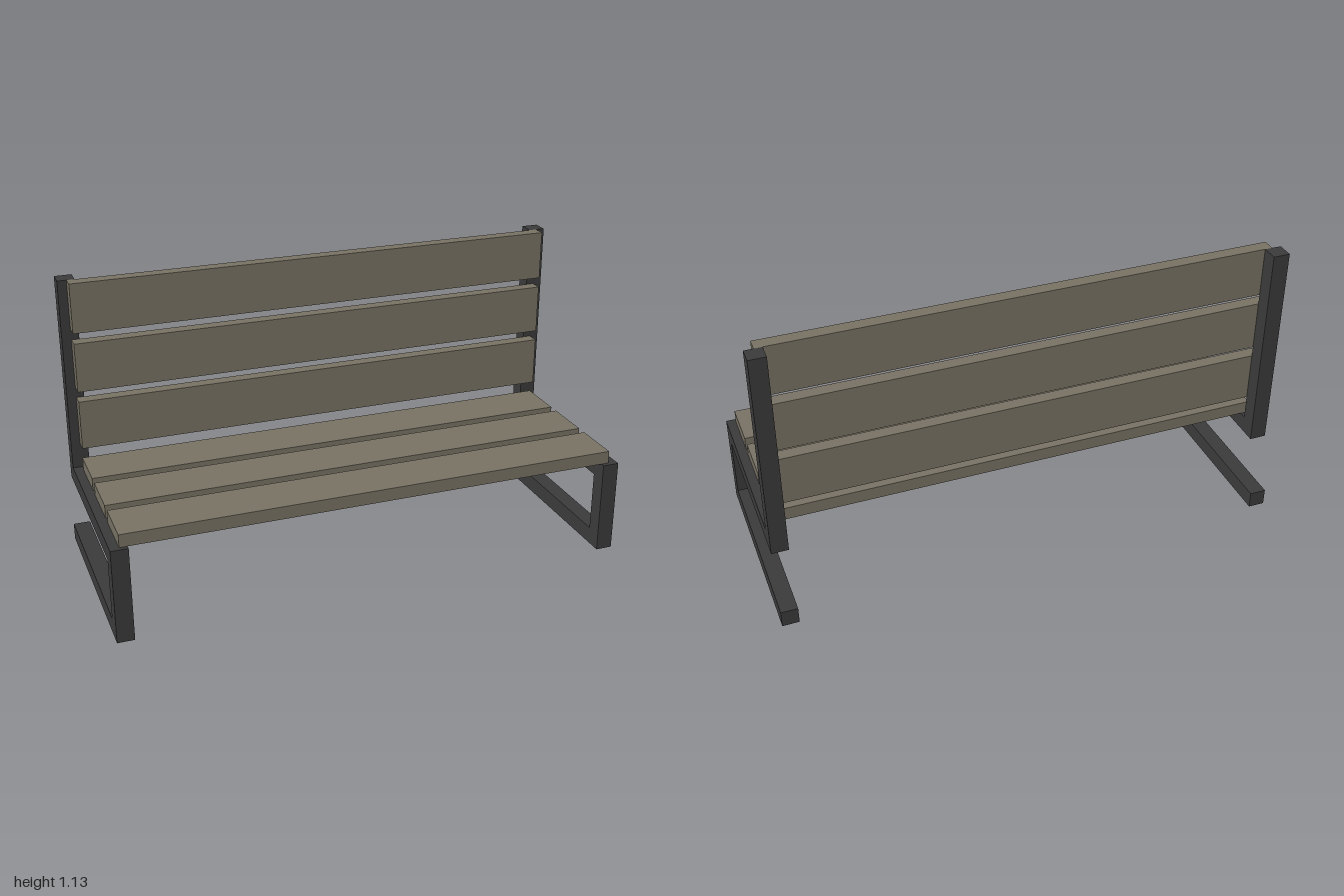
import * as THREE from 'three';

const BAR = 0.065;   // square frame tube
const SLAT_LENGTH = 1.93, SLAT_WIDTH = 0.193, SLAT_THICK = 0.05, PITCH = 0.233;

// Side outline of one frame as [z, y]: foot, front leg, seat rail and back post
const FRAME_OUTLINE = [
  [-0.41, 0], [0.41, 0], [0.41, 0.37], [-0.293, 0.37], [-0.293, 1.127], [-0.357, 1.127],
  [-0.357, 0.305], [0.345, 0.305], [0.345, 0.066], [-0.41, 0.066],
];

export function createModel() {
  const bench = new THREE.Group();
  bench.name = 'bench';
  const metal = new THREE.MeshStandardMaterial({ color: 0x3b3b3b });
  const wood = new THREE.MeshStandardMaterial({ color: 0x787264 });

  // Side frames, one bent bar at each end
  const outline = new THREE.Shape(FRAME_OUTLINE.map(([z, y]) => new THREE.Vector2(z, y)));
  const frameGeometry = new THREE.ExtrudeGeometry(outline, { depth: BAR, bevelEnabled: false });
  frameGeometry.translate(0, 0, -BAR / 2).rotateY(-Math.PI / 2);
  for (const side of [1, -1]) {
    const frame = new THREE.Mesh(frameGeometry, metal);
    frame.name = side > 0 ? 'leftFrame' : 'rightFrame';
    frame.position.x = side * (1 - BAR / 2);
    bench.add(frame);
  }

  // Seat slats lie on the rails, back slats stand against the front of the posts
  const seatGeometry = new THREE.BoxGeometry(SLAT_LENGTH, SLAT_THICK, SLAT_WIDTH);
  const backGeometry = new THREE.BoxGeometry(SLAT_LENGTH, SLAT_WIDTH, SLAT_THICK);
  for (let i = 0; i < 3; i++) {
    const seatSlat = new THREE.Mesh(seatGeometry, wood);
    seatSlat.name = `seatSlat${i + 1}`;
    seatSlat.position.set(0, 0.37 + SLAT_THICK / 2, 0.297 - i * PITCH);
    const backSlat = new THREE.Mesh(backGeometry, wood);
    backSlat.name = `backSlat${i + 1}`;
    backSlat.position.set(0, 0.5645 + i * PITCH, -0.293 + SLAT_THICK / 2);
    bench.add(seatSlat, backSlat);
  }
  return bench;
}
